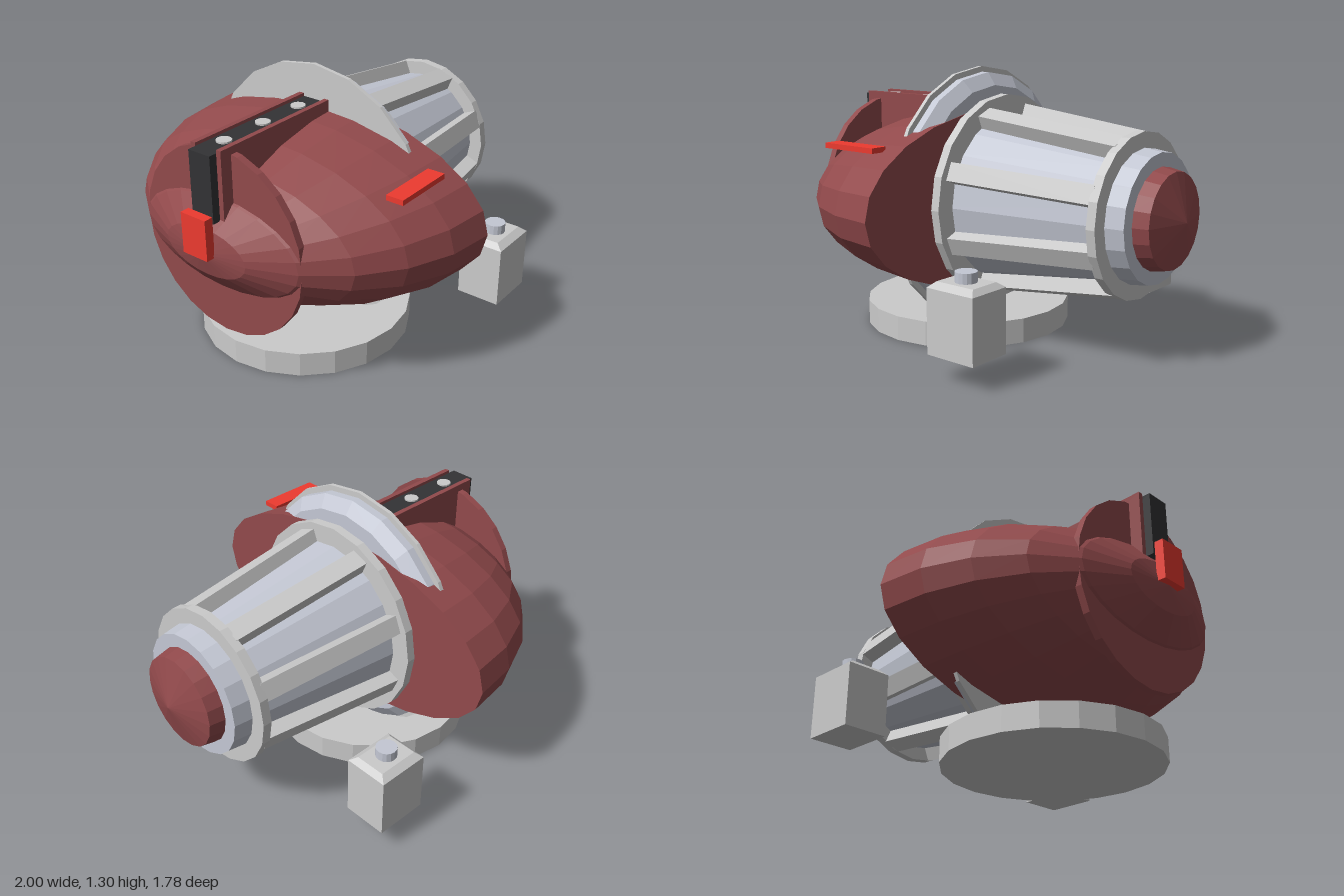
import * as THREE from 'three';

const AXIS_Y = 0.67;

export function createModel() {
  const model = new THREE.Group();
  const mat = (color) => new THREE.MeshStandardMaterial({ color, flatShading: true });
  const grey = mat(0xcccccc), silver = mat(0xc4c8d4), maroon = mat(0x924a4c);
  const red = mat(0xee3b30), black = mat(0x333335);

  const add = (name, geometry, material, x = 0, y = 0, z = 0, parent = model) => {
    const mesh = new THREE.Mesh(geometry, material);
    mesh.name = name;
    mesh.position.set(x, y, z);
    parent.add(mesh);
    return mesh;
  };
  // box given by its limits on each axis
  const box = (name, material, [x0, x1], [y0, y1], [z0, z1]) =>
    add(name, new THREE.BoxGeometry(x1 - x0, y1 - y0, z1 - z0), material,
      (x0 + x1) / 2, (y0 + y1) / 2, (z0 + z1) / 2);
  // solid turned around the long axis, profile as [x, radius]
  const turned = (name, material, profile, sides = 20) => {
    const points = profile.map(([x, r]) => new THREE.Vector2(r, x));
    const mesh = add(name, new THREE.LatheGeometry(points, sides), material, 0, AXIS_Y, 0);
    mesh.rotation.z = -Math.PI / 2;
    return mesh;
  };
  const disc = (name, material, x0, x1, r, sides) =>
    turned(name, material, [[x0, 0], [x0, r], [x1, r], [x1, 0]], sides);

  // flattened half-dome shell with a closed flat face
  const dome = [];
  for (let i = 0; i <= 6; i++) {
    const a = (i / 6) * Math.PI / 2;
    dome.push([-0.08 - 0.89 * Math.cos(a), 0.89 * Math.sin(a)]);
  }
  dome.push([-0.08, 0]);
  turned('domeShell', maroon, dome, 24).scale.x = 0.49;
  disc('noseDisc', maroon, -0.84, -0.805, 0.455, 24);

  // top rail: dark core between two side plates, with studs
  box('railCore', black, [-0.94, -0.18], [0.82, 1.135], [-0.06, 0.06]);
  for (const s of [-1, 1]) {
    box('railPlate', maroon, [-0.9, -0.18], [0.82, 1.15], [s * 0.0725 - 0.0125, s * 0.0725 + 0.0125]);
  }
  for (const x of [-0.79, -0.545, -0.305]) {
    add('railStud', new THREE.CylinderGeometry(0.035, 0.035, 0.02, 16), grey, x, 1.133, 0);
  }

  // bright markers
  box('noseMarker', red, [-1, -0.955], [0.67, 0.865], [-0.07, 0.07]);
  box('sideMarker', red, [-0.515, -0.2], [0.945, 0.97], [0.64, 0.725]);

  // stepped collar behind the dome
  disc('collarRim', grey, -0.19, -0.17, 0.635);
  turned('collar', silver, [[-0.17, 0], [-0.17, 0.607], [-0.13, 0.607], [-0.085, 0.545], [-0.085, 0]]);

  // tapered barrel, its rings and the end cap
  turned('barrel', silver, [[-0.09, 0], [-0.09, 0.42], [0.865, 0.3], [0.865, 0]]);
  disc('rearRing', grey, -0.05, -0.005, 0.505);
  disc('frontRing', grey, 0.73, 0.775, 0.385);
  turned('endCap', maroon, [[0.86, 0], [0.86, 0.237], [0.94, 0.222], [1, 0]]);

  // eight tapered ribs around the barrel
  const profile = new THREE.Shape([
    [-0.07, 0.36], [0.74, 0.28], [0.74, 0.38], [-0.07, 0.475],
  ].map(([x, y]) => new THREE.Vector2(x, y)));
  const ribGeometry = new THREE.ExtrudeGeometry(profile, { depth: 0.09, bevelEnabled: false });
  ribGeometry.translate(0, 0, -0.045);
  for (let i = 0; i < 8; i++) {
    add('rib', ribGeometry, grey, 0, AXIS_Y, 0).rotation.x = (i + 0.5) * Math.PI / 4;
  }

  // round base
  add('base', new THREE.CylinderGeometry(0.52, 0.52, 0.12, 20), grey, -0.27, 0.06, 0);

  // two side canisters with a chamfered top and a knob
  for (const s of [-1, 1]) {
    const canister = new THREE.Group();
    canister.name = 'canister';
    canister.position.set(0.34, 0, s * 0.705);
    model.add(canister);
    add('canisterBody', new THREE.BoxGeometry(0.26, 0.3, 0.22), grey, 0, 0.27, 0, canister);
    const top = new THREE.BoxGeometry(0.26, 0.025, 0.22);
    const p = top.attributes.position;
    for (let i = 0; i < p.count; i++) {
      if (p.getY(i) > 0) p.setXYZ(i, p.getX(i) * 0.79, p.getY(i), p.getZ(i) * 0.68);
    }
    top.computeVertexNormals();
    add('canisterTop', top, grey, 0, 0.4325, 0, canister);
    add('knob', new THREE.CylinderGeometry(0.05, 0.05, 0.05, 16), silver, 0, 0.467, 0, canister);
  }
  return model;
}
